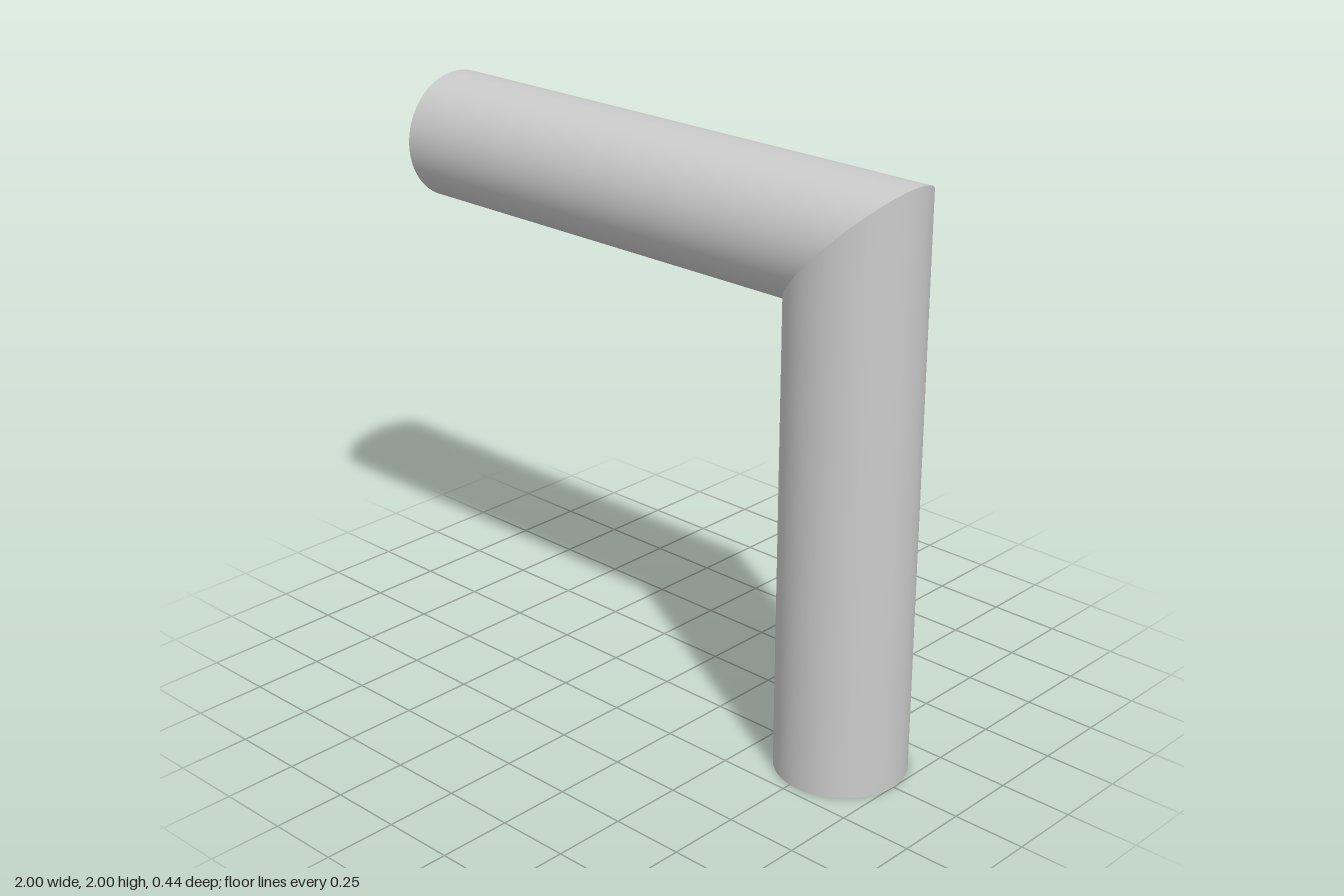
import * as THREE from 'three';
import { mergeGeometries } from 'three/addons/utils/BufferGeometryUtils.js';

const RADIUS = 0.22;
const LENGTH = 2 - RADIUS; // from the flat end to the centre of the mitre
const SEGMENTS = 96;

// Pipe along +y: flat cap at y = 0, far end cut at 45 degrees (slope is +1 or -1 along x)
function mitredPipe(name, slope, material) {
  const wall = new THREE.CylinderGeometry(RADIUS, RADIUS, LENGTH, SEGMENTS, 1, true);
  wall.translate(0, LENGTH / 2, 0);
  const p = wall.attributes.position;
  for (let i = 0; i < p.count; i++) {
    if (p.getY(i) > LENGTH / 2) p.setY(i, LENGTH + slope * p.getX(i));
  }
  const cap = new THREE.CircleGeometry(RADIUS, SEGMENTS).rotateX(Math.PI / 2);
  const mesh = new THREE.Mesh(mergeGeometries([wall, cap]), material);
  mesh.name = name;
  return mesh;
}

export function createModel() {
  const group = new THREE.Group();
  group.name = 'mitredElbow';
  const material = new THREE.MeshStandardMaterial({ color: 0xcccccc });

  // Upright pipe standing on the ground
  const upright = mitredPipe('uprightPipe', 1, material);
  upright.position.set(1 - RADIUS, 0, 0);

  // Level pipe running from the open side to the mitred corner
  const level = mitredPipe('levelPipe', -1, material);
  level.rotation.z = -Math.PI / 2;
  level.position.set(-1, LENGTH, 0);

  group.add(upright, level);
  return group;
}
